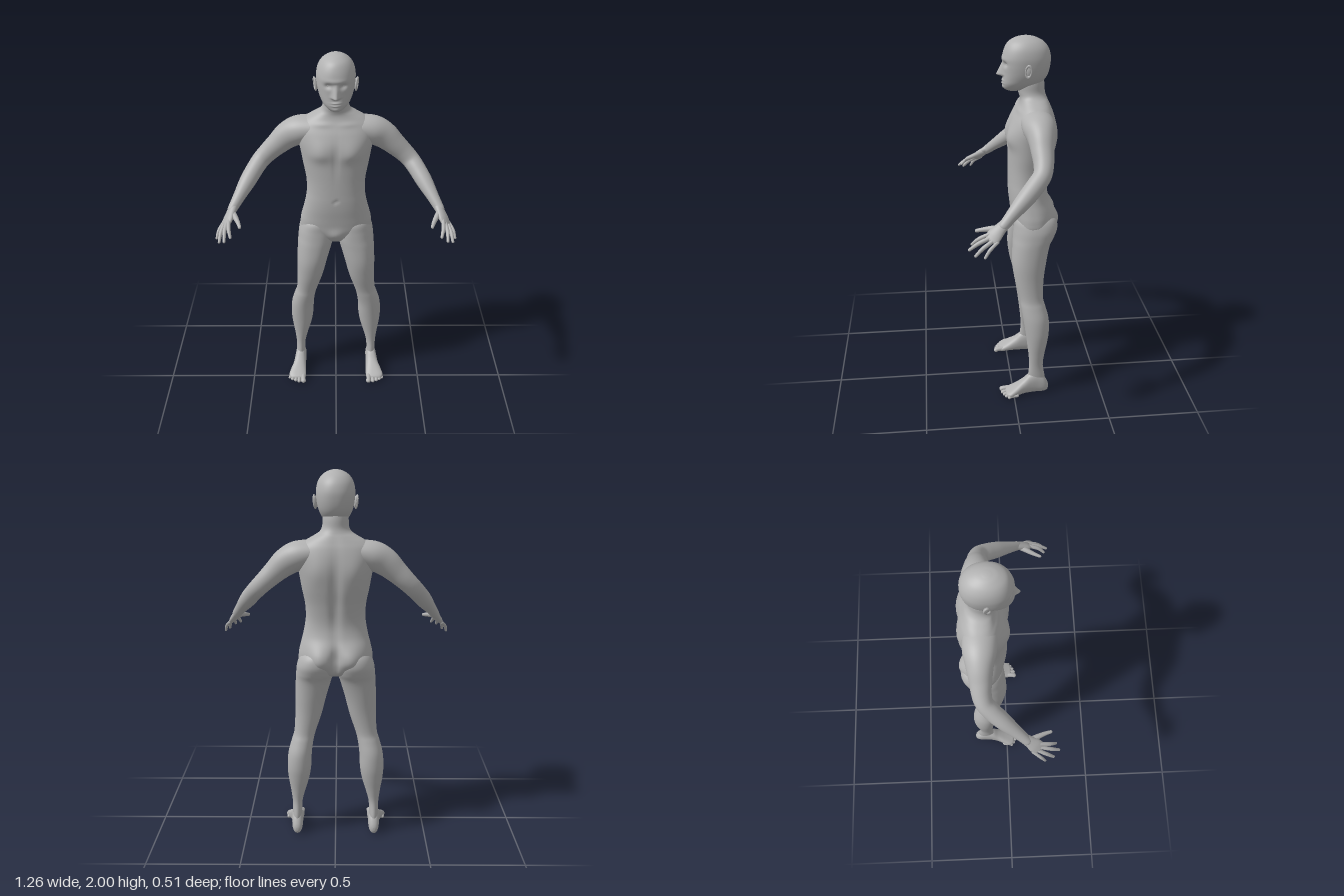
import * as THREE from 'three';

const V = (x, y, z) => new THREE.Vector3(x, y, z);
const bump = (d, s) => Math.exp(-(d / s) * (d / s));
const clamp = THREE.MathUtils.clamp;

// Catmull-Rom interpolation of rows of numbers
function refine(rows, steps) {
  const out = [], last = rows.length - 1;
  for (let i = 0; i < last; i++) {
    const [p, a, b, q] = [rows[Math.max(i - 1, 0)], rows[i], rows[i + 1], rows[Math.min(i + 2, last)]];
    for (let k = 0; k < steps; k++) {
      const t = k / steps;
      out.push(a.map((v, c) => 0.5 * (2 * v + (b[c] - p[c]) * t + (2 * p[c] - 5 * v + 4 * b[c] - q[c]) * t * t
        + (3 * v - p[c] - 3 * b[c] + q[c]) * t * t * t)));
    }
  }
  out.push(rows[last]);
  return out;
}

// Closed, smooth skin over a list of rings
function skin(rings) {
  const n = rings[0].length, pts = rings.flat(), index = [];
  const centre = (ring) => ring.reduce((s, p) => s.add(p), V(0, 0, 0)).divideScalar(n);
  for (let r = 0; r < rings.length - 1; r++) {
    for (let j = 0; j < n; j++) {
      const a = r * n + j, b = r * n + (j + 1) % n;
      index.push(a, a + n, b, b, a + n, b + n);
    }
  }
  const end = (rings.length - 1) * n, c0 = pts.length;
  pts.push(centre(rings[0]), centre(rings[rings.length - 1]));
  for (let j = 0; j < n; j++) {
    const k = (j + 1) % n;
    index.push(c0, j, k, c0 + 1, end + k, end + j);
  }
  // Turn the faces outwards whichever way the rings run
  let volume = 0;
  for (let i = 0; i < index.length; i += 3) {
    volume += pts[index[i]].dot(V(0, 0, 0).crossVectors(pts[index[i + 1]], pts[index[i + 2]]));
  }
  if (volume < 0) index.reverse();
  const geo = new THREE.BufferGeometry().setFromPoints(pts);
  geo.setIndex(index);
  geo.computeVertexNormals();
  return geo;
}

// Sections [t, a0, a1, b0, b1, power] along one axis; place(t, a, b) gives the point
function loft(rows, steps, sides, place) {
  return skin(refine(rows, steps).map(([t, a0, a1, b0, b1, power]) => {
    const ring = [];
    for (let j = 0; j < sides; j++) {
      const u = j / sides * Math.PI * 2, c = Math.cos(u), s = Math.sin(u), e = 2 / power;
      ring.push(place(t, (a0 + a1) / 2 + (a1 - a0) / 2 * Math.sign(c) * Math.abs(c) ** e,
        (b0 + b1) / 2 + (b1 - b0) / 2 * Math.sign(s) * Math.abs(s) ** e));
    }
    return ring;
  }));
}

// Limb along rows [x, y, z, radius along ref, other radius], with rounded ends
function limb(rows, ref, steps, sides, mirror) {
  const path = refine(rows, steps), last = path.length - 1, rings = [];
  const at = (i) => V(...path[clamp(i, 0, last)]);
  path.forEach(([x, y, z, ra, rb], i) => {
    const dir = at(i + 1).sub(at(i - 1)).normalize();
    const side = ref.clone().addScaledVector(dir, -ref.dot(dir)).normalize();
    const up = V(0, 0, 0).crossVectors(dir, side);
    const ring = (angle, sign) => {
      const pts = [], k = Math.cos(angle), push = sign * Math.sin(angle) * Math.min(ra, rb);
      for (let j = 0; j < sides; j++) {
        const u = j / sides * Math.PI * 2;
        const p = V(x, y, z).addScaledVector(dir, push)
          .addScaledVector(side, Math.cos(u) * ra * k).addScaledVector(up, Math.sin(u) * rb * k);
        p.x *= mirror;
        pts.push(p);
      }
      rings.push(pts);
    };
    if (i === 0) for (const a of [1.45, 1.1, 0.7, 0.35]) ring(a, -1);
    ring(0, 1);
    if (i === last) for (const a of [0.35, 0.7, 1.1, 1.45]) ring(a, 1);
  });
  return skin(rings);
}

// Chest, back, navel and buttock relief
function torsoPoint(y, x, z) {
  const m = Math.abs(x);
  if (z > -0.1) {
    const w = clamp((z + 0.1) / 0.08, 0, 1);
    z += w * (0.016 * bump(m - 0.085, 0.06) * bump(y - 1.485, y < 1.485 ? 0.04 : 0.06)
      - 0.006 * bump(x, 0.012) * bump(y - 1.45, 0.09)
      - 0.007 * bump(x, 0.009) * bump(y - 1.21, 0.011)
      + 0.005 * bump(m - 0.07, 0.05) * bump(y - 1.635, 0.012)
      + 0.014 * bump(x, 0.04) * bump(y - 0.985, 0.035));
  } else {
    const w = clamp((-0.1 - z) / 0.08, 0, 1);
    z += w * (0.016 * bump(x, 0.025) * bump(y - 1.36, 0.2)
      - 0.012 * bump(m - 0.1, 0.06) * bump(y - 1.5, 0.08)
      - 0.036 * bump(m - 0.085, 0.065) * bump(y - 1.04, 0.065)
      + 0.025 * bump(x, 0.018) * bump(y - 1.02, 0.07));
  }
  return V(x, y, z);
}

// Nose, eye sockets, brow, lips and chin
function headPoint(y, x, z) {
  const w = clamp((z + 0.04) / 0.05, 0, 1), m = Math.abs(x);
  const ridge = clamp((1.874 - y) / 0.062, 0, 1) * (y > 1.808 ? 1 : bump(y - 1.808, 0.008));
  const dz = 0.034 * ridge * bump(x, 0.01 + 0.007 * ridge)
    - 0.012 * bump(m - 0.037, 0.018) * bump(y - 1.864, 0.013)
    + 0.004 * bump(x, 0.055) * bump(y - 1.888, 0.011)
    + 0.006 * bump(x, 0.022) * (bump(y - 1.779, 0.005) + bump(y - 1.765, 0.005))
    + 0.005 * bump(x, 0.022) * bump(y - 1.742, 0.011);
  return V(x, y, z + w * dz);
}

export function createModel() {
  const model = new THREE.Group();
  const skinGrey = new THREE.MeshStandardMaterial({ color: 0xb2b2b2 });
  skinGrey.name = 'skinGrey';
  const add = (name, geo, parent = model) => {
    const mesh = new THREE.Mesh(geo, skinGrey);
    mesh.name = name;
    parent.add(mesh);
    return mesh;
  };
  // Centred sections: height, half width, back, front, power
  const centred = (rows) => rows.map(([y, w, b, f, p = 2.3]) => [y, -w, w, b, f, p]);

  add('torso', loft(centred([
    [0.925, 0.05, -0.15, -0.06], [0.95, 0.12, -0.2, -0.035], [1, 0.19, -0.225, -0.014], [1.05, 0.196, -0.225, -0.006],
    [1.1, 0.186, -0.22, 0], [1.15, 0.173, -0.206, 0.006], [1.2, 0.163, -0.198, 0.009], [1.25, 0.157, -0.2, 0.009],
    [1.32, 0.16, -0.212, 0.009], [1.4, 0.175, -0.229, 0.01], [1.47, 0.187, -0.236, 0.011], [1.53, 0.198, -0.236, 0.006],
    [1.58, 0.203, -0.23, -0.01], [1.62, 0.19, -0.22, -0.03], [1.65, 0.155, -0.208, -0.045], [1.675, 0.112, -0.197, -0.052],
    [1.695, 0.082, -0.188, -0.05, 2.1], [1.72, 0.069, -0.181, -0.042, 2], [1.76, 0.066, -0.178, -0.038, 2], [1.8, 0.06, -0.17, -0.05, 2],
  ]), 5, 88, torsoPoint));

  const head = new THREE.Group();
  head.name = 'head';
  model.add(head);
  add('skullAndFace', loft(centred([
    [1.722, 0.014, -0.05, 0.005, 2], [1.73, 0.036, -0.085, 0.022, 2], [1.745, 0.055, -0.125, 0.034, 2.1], [1.765, 0.071, -0.16, 0.037],
    [1.79, 0.083, -0.184, 0.036], [1.82, 0.092, -0.198, 0.035], [1.86, 0.098, -0.206, 0.036], [1.9, 0.099, -0.207, 0.037, 2.2],
    [1.94, 0.09, -0.195, 0.026, 2.1], [1.97, 0.071, -0.17, 0.007, 2], [1.99, 0.043, -0.133, -0.027, 2], [1.998, 0.018, -0.102, -0.058, 2],
    [2, 0.003, -0.083, -0.077, 2],
  ]), 8, 96, headPoint), head);

  const toes = [[0.2, 0.035, 0.197, 0.066, 0.015], [0.222, 0.03, 0.224, 0.064, 0.011], [0.241, 0.023, 0.245, 0.055, 0.0105],
    [0.258, 0.014, 0.264, 0.044, 0.01], [0.273, 0.003, 0.28, 0.03, 0.0095]];
  const fingerTips = [[0.545, 1.127, 0.235], [0.576, 1.112, 0.25], [0.606, 1.093, 0.222], [0.624, 1.09, 0.178]];

  for (const s of [1, -1]) {
    const label = s > 0 ? 'left' : 'right';
    const mirrored = (t, a, b) => V(s * a, t, b);

    // Eye and ear
    add(label + 'Eye', new THREE.SphereGeometry(0.0125, 20, 14), head).position.set(s * 0.037, 1.863, 0.007);
    const ear = new THREE.Group();
    ear.name = label + 'Ear';
    ear.position.set(s * 0.1, 1.84, -0.086);
    ear.rotation.set(-0.12, s * -0.3, s * -0.12);
    head.add(ear);
    add('earBowl', new THREE.SphereGeometry(1, 20, 14).scale(0.008, 0.03, 0.017), ear);
    add('earRim', new THREE.TorusGeometry(0.015, 0.0045, 10, 28).rotateY(Math.PI / 2).scale(1.2, 1.95, 1), ear)
      .position.x = s * 0.006;

    // Leg from hip to ankle
    add(label + 'Leg', loft([
      [1.09, 0.06, 0.14, -0.185, -0.05, 2], [1.05, 0.02, 0.184, -0.235, -0.018, 2.1], [1, 0.004, 0.204, -0.247, -0.012, 2.2],
      [0.95, 0.006, 0.211, -0.231, -0.008, 2.2], [0.9, 0.022, 0.215, -0.206, -0.004, 2.2], [0.8, 0.05, 0.22, -0.186, 0, 2.1],
      [0.7, 0.075, 0.221, -0.172, -0.014, 2.1], [0.6, 0.108, 0.227, -0.168, -0.038, 2.1], [0.55, 0.121, 0.241, -0.179, -0.045, 2.1],
      [0.48, 0.131, 0.26, -0.197, -0.056, 2], [0.4, 0.135, 0.266, -0.2, -0.068, 2], [0.33, 0.146, 0.261, -0.191, -0.077, 2],
      [0.25, 0.169, 0.249, -0.176, -0.086, 2], [0.18, 0.186, 0.241, -0.168, -0.09, 2], [0.1, 0.19, 0.24, -0.18, -0.084, 2],
      [0.04, 0.195, 0.235, -0.18, -0.09, 2],
    ], 5, 48, mirrored));

    // Foot and toes
    const foot = new THREE.Group();
    foot.name = label + 'Foot';
    model.add(foot);
    add('footBody', loft([
      [-0.201, 0.208, 0.222, 0.025, 0.045, 2], [-0.193, 0.195, 0.235, 0.008, 0.068, 2.1], [-0.17, 0.186, 0.244, 0, 0.105, 2.2],
      [-0.13, 0.184, 0.247, 0, 0.13, 2.3], [-0.09, 0.184, 0.252, 0, 0.12, 2.3], [-0.055, 0.184, 0.26, 0, 0.09, 2.3],
      [-0.015, 0.183, 0.276, 0, 0.062, 2.4], [0.02, 0.183, 0.285, 0, 0.041, 2.5], [0.04, 0.188, 0.272, 0.004, 0.03, 2.4],
      [0.046, 0.2, 0.255, 0.01, 0.022, 2],
    ], 5, 40, (z, x, y) => V(s * x, y, z)), foot);
    toes.forEach(([x0, z0, x1, z1, r]) => add('toe',
      limb([[x0, r + 0.006, z0 - 0.02, r, r], [(x0 + x1) / 2, r + 0.004, (z0 + z1) / 2, r * 0.9, r * 0.9], [x1, r, z1, r, r * 0.9]],
        V(1, 0, 0), 4, 14, s), foot));

    // Arm from shoulder to wrist
    add(label + 'Arm', limb([
      [0.12, 1.59, -0.125, 0.085, 0.065], [0.195, 1.572, -0.13, 0.083, 0.076], [0.255, 1.54, -0.132, 0.068, 0.072],
      [0.31, 1.492, -0.131, 0.057, 0.06], [0.36, 1.445, -0.13, 0.05, 0.052], [0.4, 1.405, -0.118, 0.046, 0.048],
      [0.432, 1.368, -0.083, 0.046, 0.046], [0.47, 1.318, -0.03, 0.043, 0.043], [0.512, 1.26, 0.035, 0.032, 0.032],
      [0.545, 1.213, 0.085, 0.025, 0.025],
    ], V(0, 0, 1), 6, 40, s));

    // Hand: palm, four fingers and thumb
    const hand = new THREE.Group();
    hand.name = label + 'Hand';
    model.add(hand);
    const across = V(0.045, -0.03, -0.04).normalize();
    add('palm', limb([[0.537, 1.225, 0.072, 0.026, 0.022], [0.55, 1.203, 0.1, 0.031, 0.02], [0.563, 1.18, 0.126, 0.038, 0.018],
      [0.575, 1.16, 0.145, 0.038, 0.013]], across, 5, 28, s), hand);
    fingerTips.forEach((tip, i) => {
      const base = V(0.556, 1.174, 0.163).lerp(V(0.596, 1.144, 0.125), i / 3), end = V(...tip);
      const mid = base.clone().lerp(end, 0.5).add(V(0.004, 0.007, 0.003));
      const r = i === 3 ? 0.0088 : 0.0102;
      const root = base.clone().lerp(end, -0.15);
      add('finger', limb([[...root, r, r], [...mid, r, r], [...end, r * 0.75, r * 0.7]], across, 6, 14, s), hand);
    });
    add('thumb', limb([[0.543, 1.203, 0.1, 0.017, 0.016], [0.525, 1.194, 0.138, 0.015, 0.014], [0.508, 1.184, 0.175, 0.0115, 0.011],
      [0.496, 1.174, 0.21, 0.009, 0.008]], across, 5, 16, s), hand);
  }
  return model;
}
